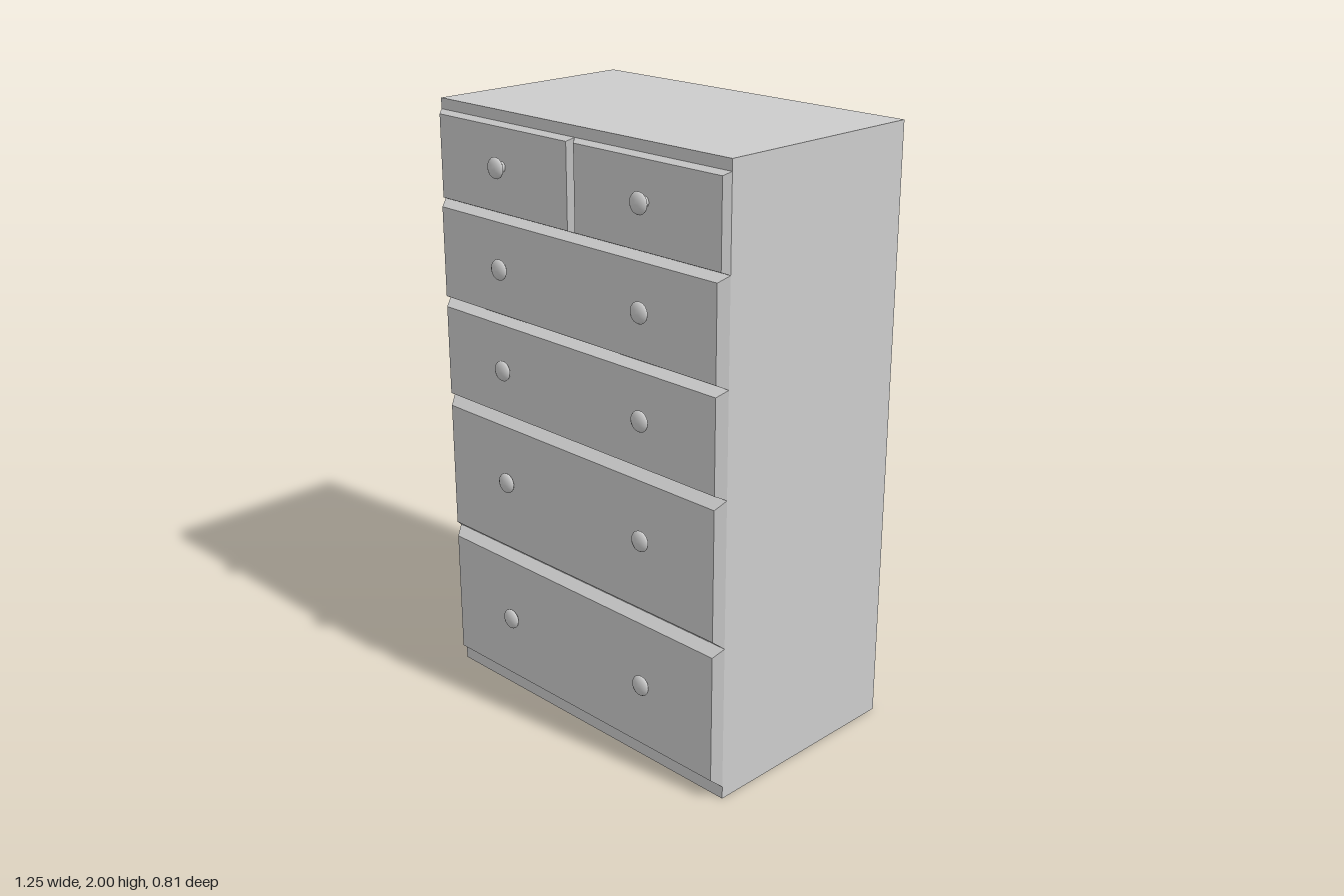
import * as THREE from 'three';

const WIDTH = 1.246, HEIGHT = 2, BACK = -0.404, FRONT = 0.343;
const material = new THREE.MeshStandardMaterial({ color: 0xcccccc });

// Drawer front: a box whose front face is drawn in to leave bevelled edges
function drawerFront(x0, x1, y0, y1, depth, insetX, insetTop, insetBottom) {
  const geo = new THREE.BoxGeometry(x1 - x0, y1 - y0, depth);
  geo.translate((x0 + x1) / 2, (y0 + y1) / 2, FRONT + depth / 2);
  const p = geo.attributes.position;
  for (let i = 0; i < p.count; i++) {
    if (p.getZ(i) < FRONT + depth / 2) continue;
    p.setX(i, p.getX(i) + (p.getX(i) < (x0 + x1) / 2 ? insetX : -insetX));
    p.setY(i, p.getY(i) + (p.getY(i) < (y0 + y1) / 2 ? insetBottom : -insetTop));
  }
  geo.computeVertexNormals();
  return new THREE.Mesh(geo, material);
}

// Turned knob: narrow stem and a lens-shaped head, axis along +z
function knobGeometry() {
  const profile = [
    [0.021, 0], [0.017, 0.008], [0.016, 0.024], [0.026, 0.027], [0.033, 0.033],
    [0.034, 0.037], [0.031, 0.042], [0.023, 0.047], [0.012, 0.050], [0, 0.051],
  ].map(([r, h]) => new THREE.Vector2(r, h));
  return new THREE.LatheGeometry(profile, 24).rotateX(Math.PI / 2);
}

export function createModel() {
  const chest = new THREE.Group();
  chest.name = 'chestOfDrawers';

  // Carcass
  const body = new THREE.Mesh(new THREE.BoxGeometry(WIDTH, HEIGHT, FRONT - BACK), material);
  body.position.set(0, HEIGHT / 2, (FRONT + BACK) / 2);
  body.name = 'carcass';
  chest.add(body);

  // Drawer rows, top to bottom
  const rows = [
    { y0: 1.677, y1: 1.965, depth: 0.021, insetX: 0.016, top: 0.011, bottom: 0.009, knobY: 1.832, split: true },
    { y0: 1.344, y1: 1.677, depth: 0.031, insetX: 0.021, top: 0.019, bottom: 0.016, knobY: 1.511 },
    { y0: 1.006, y1: 1.344, depth: 0.031, insetX: 0.021, top: 0.020, bottom: 0.016, knobY: 1.177 },
    { y0: 0.523, y1: 1.006, depth: 0.031, insetX: 0.021, top: 0.028, bottom: 0.026, knobY: 0.788 },
    { y0: 0.042, y1: 0.523, depth: 0.031, insetX: 0.021, top: 0.027, bottom: 0.026, knobY: 0.289 },
  ];
  const knobGeo = knobGeometry();
  const half = WIDTH / 2;

  rows.forEach((r, i) => {
    const row = new THREE.Group();
    row.name = `drawerRow${i + 1}`;
    const spans = r.split ? [[-half, 0], [0, half]] : [[-half, half]];
    for (const [x0, x1] of spans) {
      const front = drawerFront(x0, x1, r.y0, r.y1, r.depth, r.insetX, r.top, r.bottom);
      front.name = 'drawerFront';
      row.add(front);
    }
    // Pair of knobs
    for (const side of [-1, 1]) {
      const knob = new THREE.Mesh(knobGeo, material);
      knob.position.set(side * 0.311, r.knobY, 0.353);
      knob.name = side > 0 ? 'leftKnob' : 'rightKnob';
      row.add(knob);
    }
    chest.add(row);
  });

  return chest;
}
